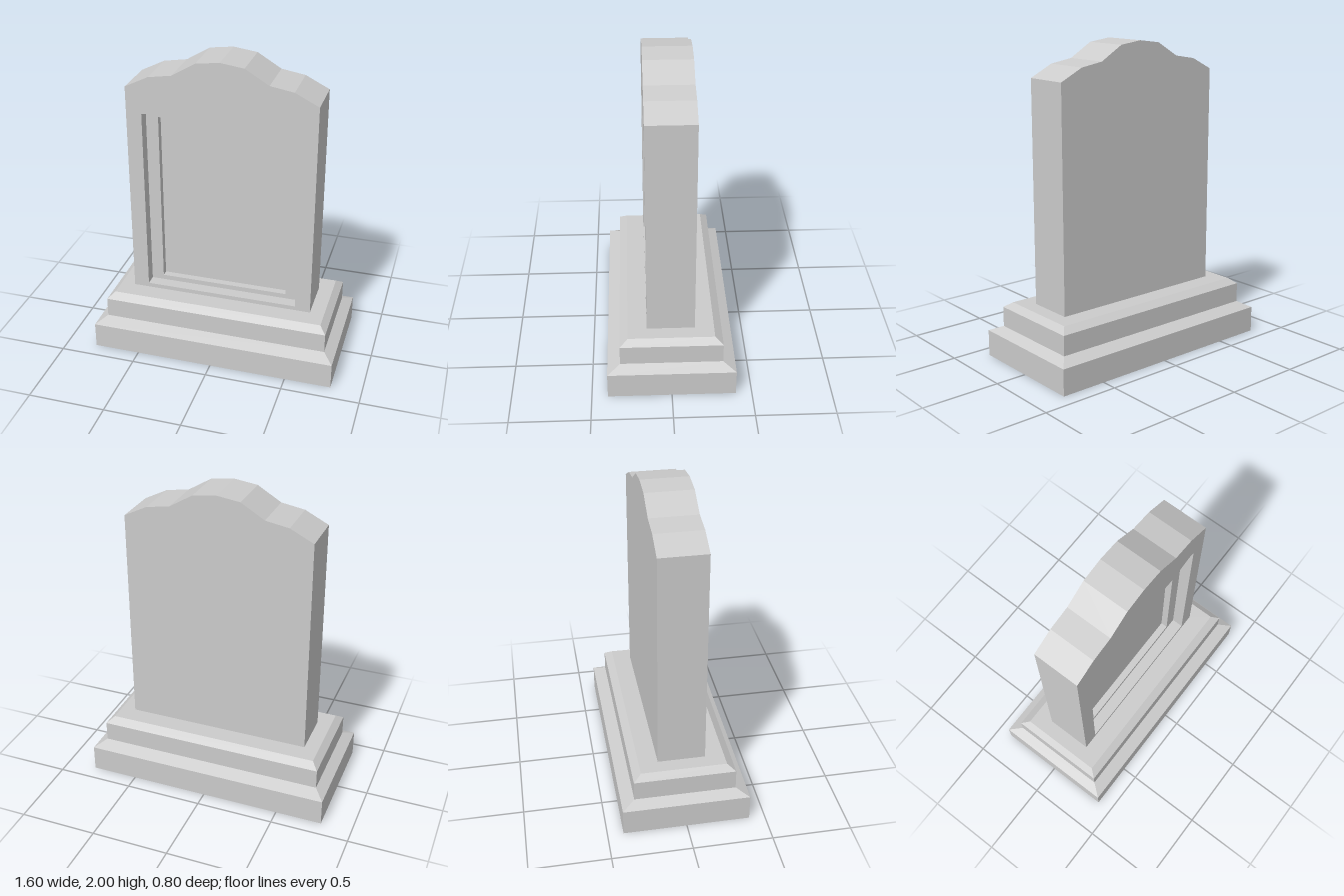
import * as THREE from 'three';

const material = new THREE.MeshStandardMaterial({ color: 0xcccccc, flatShading: true, side: THREE.DoubleSide });

// Skin of quads between successive closed rings of [x, y, z] points, from edge `first` on
function loft(rings, first = 0) {
  const pos = [];
  for (let r = 0; r + 1 < rings.length; r++) {
    const lo = rings[r], hi = rings[r + 1], n = lo.length;
    for (let i = first; i < n; i++) {
      const j = (i + 1) % n;
      for (const p of [lo[i], lo[j], hi[j], lo[i], hi[j], hi[i]]) pos.push(...p);
    }
  }
  const g = new THREE.BufferGeometry();
  g.setAttribute('position', new THREE.Float32BufferAttribute(pos, 3));
  g.computeVertexNormals();
  return g;
}

// Symmetric outline, counter-clockwise: flat bottom, top given from centre to side
function outline(bottom, top) {
  const side = top[top.length - 1][0];
  const right = [...top].reverse();
  const left = top.slice(1).map(([x, y]) => [-x, y]);
  return [[-side, bottom], [side, bottom], ...right, ...left];
}

const atZ = (pts, z) => pts.map(([x, y]) => [x, y, z]);

// Flat face with an optional hole
function face(pts, hole) {
  const toVec = (list) => list.map(([x, y]) => new THREE.Vector2(x, y));
  const shape = new THREE.Shape(toVec(pts));
  if (hole) shape.holes.push(new THREE.Path(toVec(hole)));
  return new THREE.ShapeGeometry(shape);
}

export function createModel() {
  const model = new THREE.Group();
  const add = (name, geometry, parent = model) => {
    const mesh = new THREE.Mesh(geometry, material);
    mesh.name = name;
    parent.add(mesh);
    return mesh;
  };

  // Stepped plinth, a hollow shell open underneath: [half width, y, half depth]
  const steps = [
    [0.8, 0, 0.4], [0.8, 0.17, 0.4], [0.735, 0.207, 0.32],
    [0.735, 0.335, 0.32], [0.693, 0.37, 0.27], [0.6, 0.37, 0.15],
  ];
  add('plinth', loft(steps.map(([x, y, z]) => [[x, y, z], [x, y, -z], [-x, y, -z], [-x, y, z]])));

  // Outlines of the slab and its two stepped recesses
  const D = 0.15, ledgeZ = 0.075, panelZ = 0.03;
  const slab = outline(0.37, [[0, 2], [0.15, 1.98], [0.3, 1.89], [0.45, 1.865], [0.6, 1.79]]);
  const rim = outline(0.398, [[0, 1.67], [0.15, 1.623], [0.3, 1.6], [0.45, 1.628], [0.5, 1.622]]);
  const ledge = outline(0.398, [[0, 1.645], [0.15, 1.607], [0.3, 1.59], [0.45, 1.62], [0.5, 1.612]]);
  const panel = outline(0.43, [[0, 1.613], [0.15, 1.577], [0.3, 1.562], [0.42, 1.582]]);

  // Upright slab, open where it meets the plinth
  const tablet = new THREE.Group();
  tablet.name = 'tablet';
  model.add(tablet);
  add('tabletSides', loft([atZ(slab, -D), atZ(slab, D)], 1), tablet);
  add('tabletFront', face(slab, rim), tablet).position.z = D;
  add('tabletBack', face(slab).rotateY(Math.PI), tablet).position.z = -D;

  // Sunken frame and inscription panel
  add('recessWall', loft([atZ(rim, D), atZ(ledge, ledgeZ)]), tablet);
  add('recessLedge', face(ledge, panel), tablet).position.z = ledgeZ;
  add('panelWall', loft([atZ(panel, ledgeZ), atZ(panel, panelZ)]), tablet);
  add('panel', face(panel), tablet).position.z = panelZ;

  return model;
}
